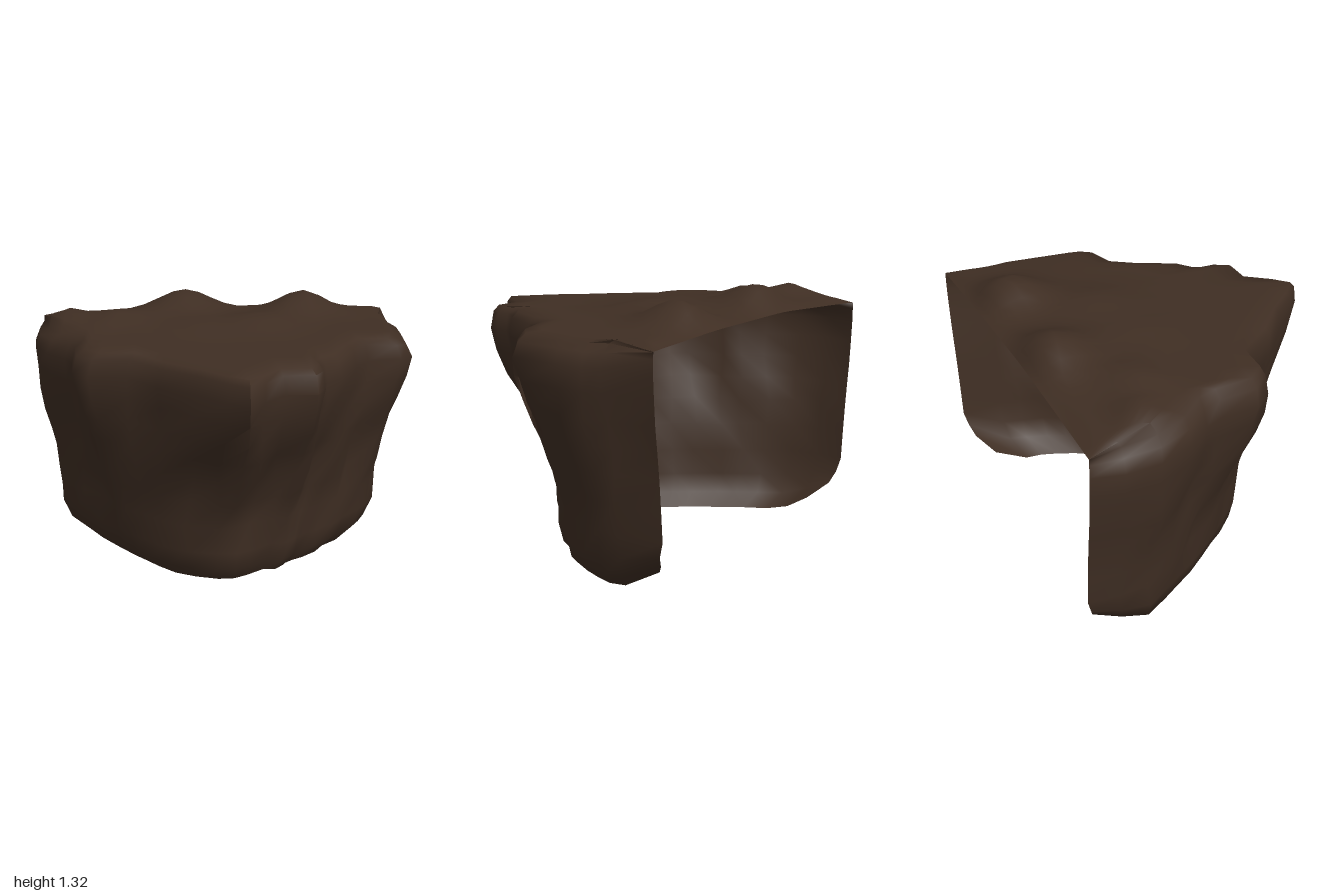
import * as THREE from 'three';
import { toCreasedNormals } from 'three/addons/utils/BufferGeometryUtils.js';

const { lerp, smoothstep } = THREE.MathUtils;

// Plan outlines [x, z] running from the back right-hand corner (-x) round the front to +x.
const upper = [[-.96, -.8], [-1, -.65], [-1, -.47], [-.93, -.3], [-.83, -.18], [-.8, -.08], [-.79, .12],
  [-.71, .21], [-.53, .22], [-.38, .42], [-.2, .58], [-.08, .72], [.02, .8], [.1, .73], [.2, .61],
  [.36, .61], [.41, .53], [.4, .48], [.44, .41], [.52, .35], [.63, .15], [.72, .03], [.9, 0],
  [.96, -.05], [.99, -.3], [1, -.45], [.97, -.54], [.96, -.8]];
const lower = [[-.88, -.8], [-.9, -.65], [-.89, -.5], [-.82, -.36], [-.75, -.25], [-.69, -.16], [-.6, -.03],
  [-.53, .06], [-.46, .15], [-.36, .26], [-.24, .33], [-.1, .38], [0, .38], [.08, .34], [.2, .26],
  [.27, .27], [.33, .21], [.35, .18], [.4, .14], [.47, .1], [.57, .02], [.63, -.07], [.74, -.16],
  [.8, -.25], [.85, -.36], [.89, -.47], [.89, -.58], [.88, -.8]];

// Wall levels: [height, blend from lower to upper outline, inset in x, inset in z]
const levels = [[1.19, .98, .92, .97], [1.16, 1, .97, .99], [1.07, 1, 1, 1], [.96, .9, 1, 1], [.84, .76, 1, 1],
  [.72, .54, 1, 1], [.6, .34, 1, 1], [.46, .16, 1, 1], [.32, 0, 1, 1], [.18, .03, .985, .97],
  [.08, 0, .94, .94], [.01, 0, .82, .83]];

// Mounds on the top: [x, z, height, radius]
const mounds = [[-.18, -.64, .125, .2], [.47, -.6, .115, .17], [-.55, -.4, .07, .17],
  [-.83, -.5, .07, .12], [.2, -.27, .06, .2], [-.15, -.2, .04, .2]];

function topPoint(i, t) {
  const [rx, ry, rz] = wallPoint(i, levels[0]);
  const s = i / (upper.length - 1);
  const x = lerp(-.96 + 1.92 * s, rx, t), z = lerp(-.8, rz, t);
  let y = lerp(1.205, ry + .015, t);
  for (const [mx, mz, h, r] of mounds) y += h * Math.exp(-((x - mx) ** 2 + (z - mz) ** 2) / (r * r));
  // Level off to the straight back edge
  const backEdge = 1.165 + .035 * Math.sin(Math.PI * s);
  return [x, lerp(backEdge, y, smoothstep(z, -.82, -.7)), z];
}

function wallPoint(i, [y, blend, insetX, insetZ]) {
  let x = lerp(lower[i][0], upper[i][0], blend);
  let z = lerp(lower[i][1], upper[i][1], blend);
  // The rim rounds over everywhere but at the back corners; the foot draws in all round
  const round = y > .5 ? smoothstep(z, -.8, -.6) : 1;
  x *= lerp(1, insetX, round);
  z = -.1 + (z + .1) * lerp(1, insetZ, round);
  // Worn unevenness, fading out at the rim, the foot and the straight back edge
  const fade = Math.min(1, (z + .8) * 3) * Math.sin(Math.PI * Math.min(1, y / 1.2));
  x += .014 * fade * Math.sin(i * 2.1 + y * 9);
  z += .018 * fade * Math.sin(i * 1.7 - y * 11);
  // The foot rises towards the back and the rim droops at the sides
  const lift = .15 * Math.max(0, 1 - y / .32) * smoothstep(-z, .45, .8);
  const droop = y > 1.1 ? .025 * smoothstep(Math.abs(x), .7, .95) : 0;
  return [x, y + lift - droop, z];
}

function shellGeometry() {
  const n = upper.length, capRows = 14, pos = [], index = [];
  // Top: strips from the straight back edge to the rim, closer together at the back
  for (let k = 0; k < capRows; k++) {
    for (let i = 0; i < n; i++) pos.push(...topPoint(i, (k / capRows) ** 1.4));
  }
  // Walls, open at the back and underneath
  for (const level of levels) for (let i = 0; i < n; i++) pos.push(...wallPoint(i, level));
  const rows = capRows + levels.length;
  for (let r = 0; r < rows - 1; r++) {
    for (let i = 0; i < n - 1; i++) {
      const a = r * n + i, b = a + n;
      index.push(a, b, a + 1, b, b + 1, a + 1);
    }
  }
  const g = new THREE.BufferGeometry();
  g.setAttribute('position', new THREE.Float32BufferAttribute(pos, 3));
  g.setIndex(index);
  return toCreasedNormals(g, 1.1);
}

export function createModel() {
  const stone = new THREE.MeshStandardMaterial({ color: 0x3f2e23, side: THREE.DoubleSide });
  stone.name = 'dark brown stone';
  const shell = new THREE.Mesh(shellGeometry(), stone);
  shell.name = 'rockShell';
  const group = new THREE.Group();
  group.name = 'rockLedge';
  group.add(shell);
  return group;
}
